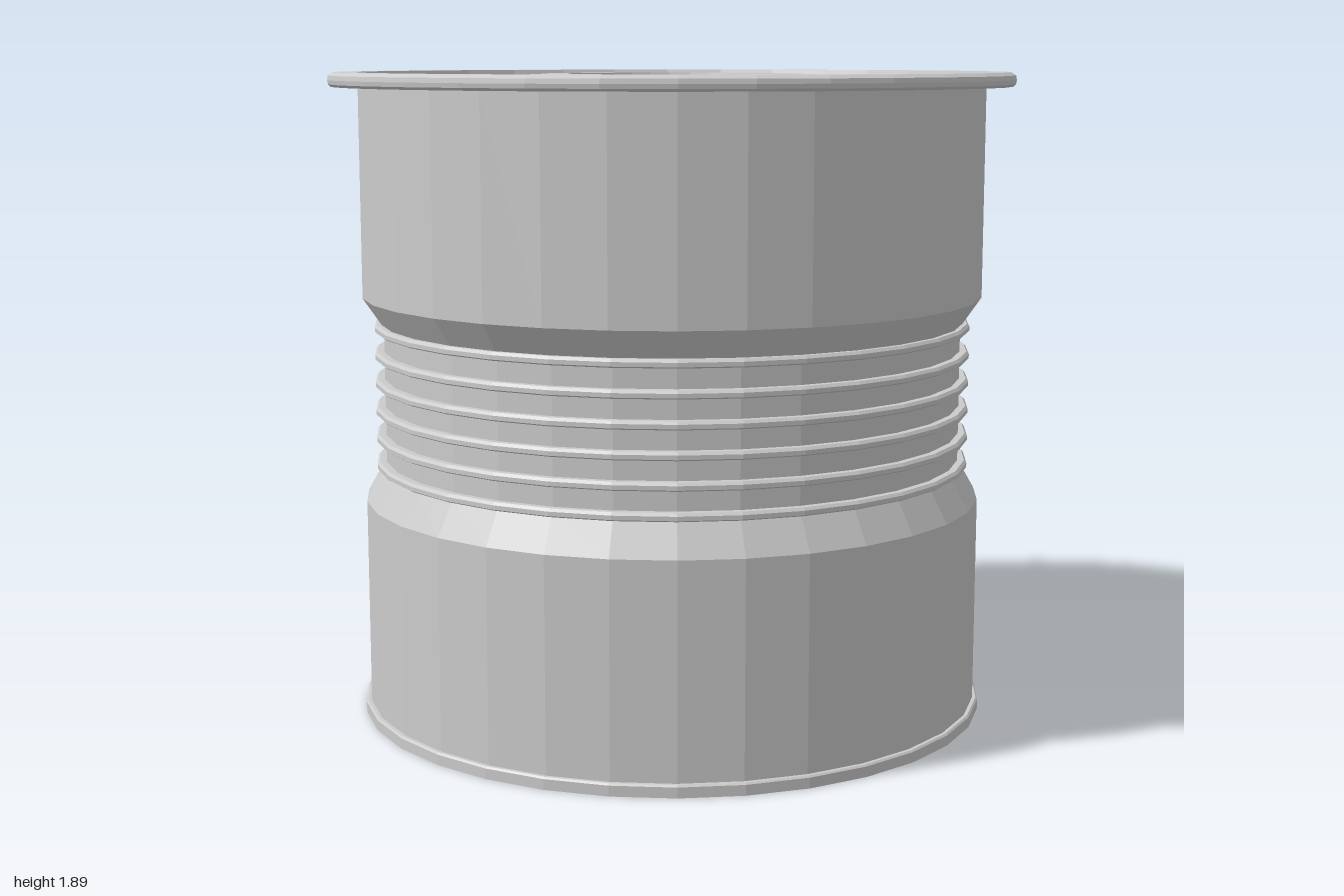
import * as THREE from 'three';

const SIDES = 32;
const material = new THREE.MeshStandardMaterial({ color: 0xcccccc, flatShading: true });

// Revolves a profile of [radius, height] pairs, listed from the bottom up
function turned(name, profile) {
  const points = profile.map(([r, y]) => new THREE.Vector2(r, y));
  const mesh = new THREE.Mesh(new THREE.LatheGeometry(points, SIDES), material);
  mesh.name = name;
  return mesh;
}

export function createModel() {
  const can = new THREE.Group();
  can.name = 'tinCan';

  // Flat base with a narrow bottom rim
  can.add(turned('base', [[0, 0], [0.93, 0], [0.93, 0.03], [0.925, 0.035], [0.915, 0.035]]));

  // Wall: wide cylinder, narrow waist with raised beads, wide cylinder
  const wall = [[0.915, 0.035], [0.915, 0.64], [0.862, 0.733]];
  for (let i = 0; i < 6; i++) {
    const y = 0.745 + i * 0.081;
    wall.push([0.855, y - 0.012], [0.875, y - 0.012], [0.882, y - 0.008],
      [0.882, y + 0.004], [0.875, y + 0.012], [0.855, y + 0.012]);
  }
  wall.push([0.862, 1.162], [0.915, 1.24], [0.915, 1.846]);
  can.add(turned('wall', wall));

  // Lid: overhanging rim, shallow recess, rings stepping up to a sunken centre
  const lid = [[0.915, 1.846], [0.99, 1.846], [0.998, 1.853], [1, 1.865], [0.998, 1.878],
    [0.985, 1.887], [0.915, 1.887], [0.907, 1.862]];
  let height = 1.862;
  for (let i = 0; i < 5; i++) {
    const r = 0.763 - i * 0.096;
    lid.push([r + 0.016, height]);
    height += 0.004;
    lid.push([r, height]);
  }
  lid.push([0.312, height], [0.31, height - 0.01], [0, height - 0.01]);
  can.add(turned('lid', lid));

  return can;
}
